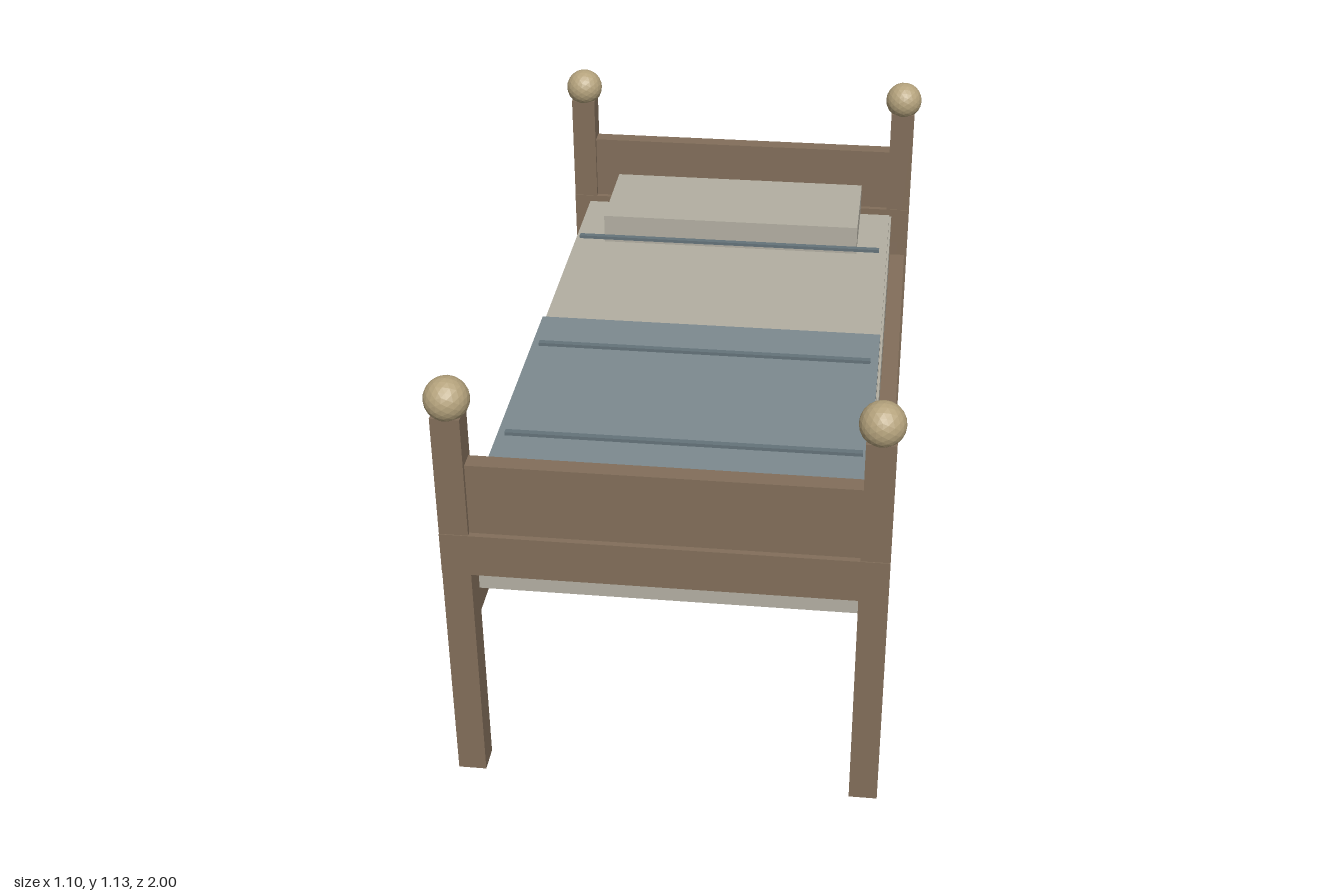
import * as THREE from 'three';

const mat = (name, color) => {
  const m = new THREE.MeshStandardMaterial({ color });
  m.name = name;
  return m;
};

export function createModel() {
  const bed = new THREE.Group();
  bed.name = 'bed';

  const wood = mat('brown wood', 0x826e5a);
  const knobWood = mat('pale wood', 0xb5a37d);
  const linen = mat('linen', 0xb3afa2);
  const wool = mat('blue-grey wool', 0x7d8a8f);
  const stripe = mat('dark blue-grey', 0x64737a);
  knobWood.flatShading = true;

  // Box given by its [min, max] extent on each axis
  const box = (name, material, [x0, x1], [y0, y1], [z0, z1]) => {
    const mesh = new THREE.Mesh(new THREE.BoxGeometry(x1 - x0, y1 - y0, z1 - z0), material);
    mesh.position.set((x0 + x1) / 2, (y0 + y1) / 2, (z0 + z1) / 2);
    mesh.name = name;
    bed.add(mesh);
  };
  const around = (c, size) => [c - size / 2, c + size / 2];

  const postX = 0.495, postZ = 0.945;
  const knobShape = new THREE.IcosahedronGeometry(0.054, 3);

  for (const end of [1, -1]) {
    const endName = end > 0 ? 'foot' : 'head';

    // Corner posts with round knobs
    for (const side of [1, -1]) {
      const corner = endName + (side > 0 ? 'Left' : 'Right');
      box(corner + 'Post', wood, around(side * postX, 0.07), [0, 1.04], around(end * postZ, 0.07));
      const knob = new THREE.Mesh(knobShape, knobWood);
      knob.position.set(side * postX, 1.075, end * postZ);
      knob.name = corner + 'Knob';
      bed.add(knob);
    }

    // End boards: a proud cross rail and a thinner panel above it
    box(endName + 'CrossRail', wood, [-0.53, 0.53], [0.61, 0.722], around(end * postZ, 0.075));
    box(endName + 'Panel', wood, [-0.465, 0.465], [0.72, 0.91], around(end * postZ, 0.045));
  }

  // Side rails
  for (const side of [1, -1]) {
    box(side > 0 ? 'leftSideRail' : 'rightSideRail', wood,
      around(side * 0.5, 0.045), [0.4, 0.565], [-0.93, 0.93]);
  }

  // Slats under the mattress
  for (let i = 0; i < 6; i++) {
    box('slat', wood, [-0.48, 0.48], [0.49, 0.512], around(-0.83 + i * 0.332, 0.08));
  }

  // Bedding
  box('mattress', linen, [-0.476, 0.476], [0.511, 0.703], [-0.9, 0.9]);
  box('sheet', linen, [-0.47, 0.47], [0.7, 0.735], [-0.84, 0.875]);
  box('pillow', linen, [-0.38, 0.38], [0.73, 0.82], [-0.866, -0.563]);
  box('blanket', wool, [-0.469, 0.469], [0.734, 0.762], [-0.026, 0.814]);

  // Thin cross strips above the bedding
  for (const z of [-0.524, 0.136, 0.594]) {
    box('strip', stripe, [-0.448, 0.448], [0.765, 0.774], around(z, 0.016));
  }

  return bed;
}
